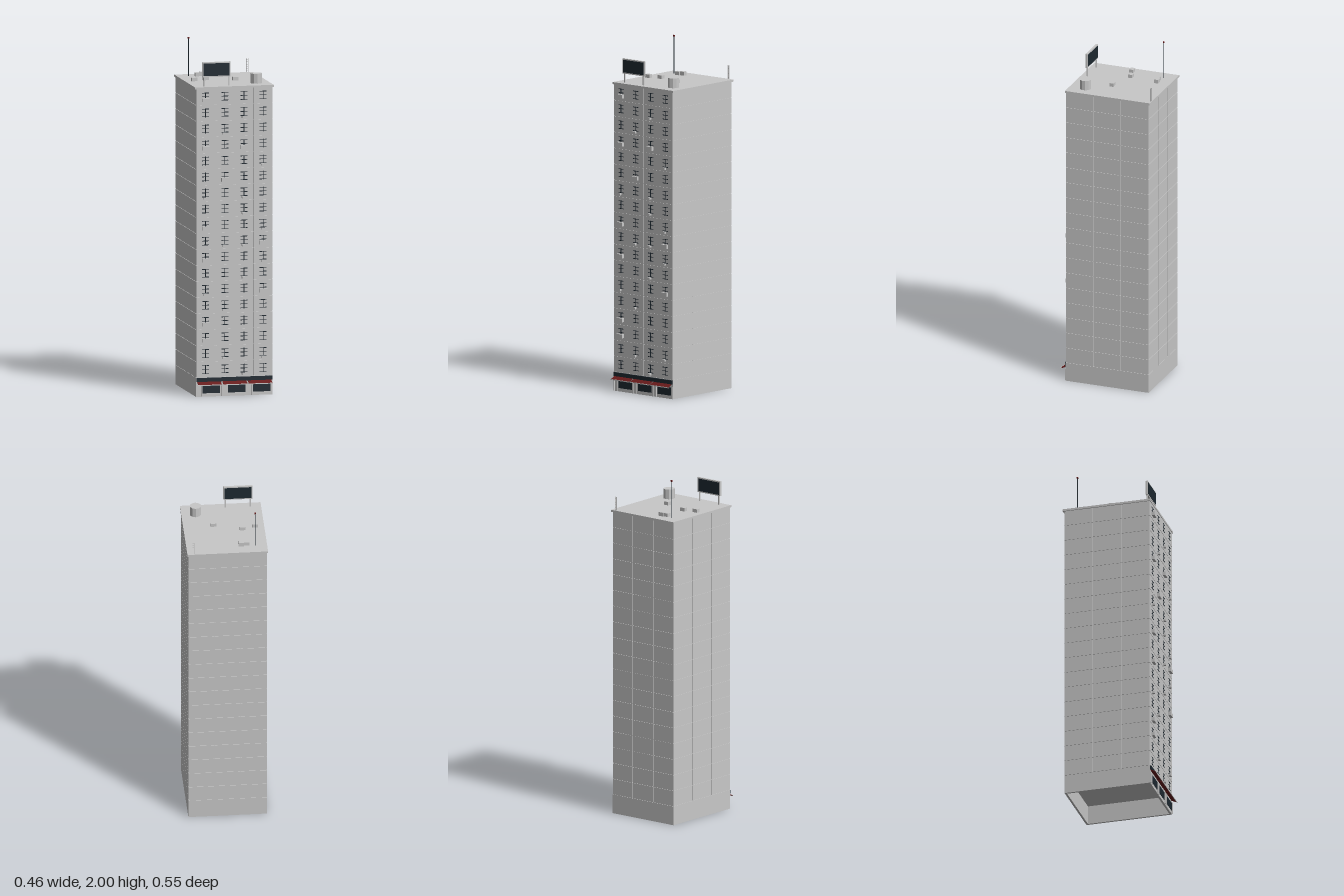
import * as THREE from 'three';
import { mergeGeometries } from 'three/addons/utils/BufferGeometryUtils.js';

const mat = (name, color) => Object.assign(new THREE.MeshStandardMaterial({ color }), { name });

// Box given by its centre and size
function box(x, y, z, w, h, d) {
  return new THREE.BoxGeometry(w, h, d).translate(x, y, z);
}

export function createModel() {
  const grey = mat('concreteGrey', 0xc8c8c8);
  const dark = mat('darkGlass', 0x1d2830);
  const red = mat('awningRed', 0x681b1b);
  const model = new THREE.Group();
  const add = (name, geos, material) => {
    const m = new THREE.Mesh(mergeGeometries(geos), material);
    m.name = name;
    model.add(m);
  };

  const X = 0.224, ZF = 0.24, ZB = -0.266, ZC = (ZF + ZB) / 2, D = ZF - ZB;
  const Y0 = 0.11, Y1 = 1.768, FLOORS = 18, FH = (Y1 - Y0) / FLOORS;
  const step = 0.003, gap = 0.003;
  const cols = [-1.5, -0.5, 0.5, 1.5].map(i => i * X / 2);
  const midY = f => Y1 - (f + 0.5) * FH; // floor 0 is the top one

  // Tower core, with slightly raised wall panels on each floor
  add('towerCore', [box(0, (Y0 + Y1) / 2, ZC, 2 * (X - step), Y1 - Y0, D - 2 * step)], grey);
  const panels = [];
  for (let f = 0; f < FLOORS; f++) {
    const y = midY(f), h = FH - gap;
    for (const x of cols) panels.push(box(x, y, ZF - step / 2, X / 2 - gap, h, step));
    for (let i = -1; i <= 1; i++) {
      panels.push(box(i * 2 * X / 3, y, ZB + step / 2, 2 * X / 3 - gap, h, step));
      for (const s of [-1, 1])
        panels.push(box(s * (X - step / 2), y, ZC + i * D / 3, step, h, D / 3 - gap));
    }
  }
  add('wallPanels', panels, grey);

  // Window bars on the front
  const bars = [];
  for (let f = 0; f < FLOORS; f++) for (const x of cols) {
    const y = midY(f);
    bars.push(box(x, y, ZF, 0.004, 0.05, 0.003));
    for (const dy of [0.022, 0.001, -0.022]) bars.push(box(x, y + dy, ZF, 0.04, 0.0035, 0.003));
  }
  add('windowBars', bars, dark);

  // Window boxes and small cooling units: floors listed per column
  const largeFloors = [[0, 3, 8, 10, 14, 15], [5], [3], [9, 12]];
  const smallFloors = [[6, 12], [2, 9, 13, 16], [1, 6, 7, 9, 11, 17], [4, 8, 10, 16]];
  const units = [];
  cols.forEach((x, c) => {
    for (const f of largeFloors[c]) units.push(box(x, midY(f) - 0.018, ZF + 0.008, 0.042, 0.022, 0.016));
    for (const f of smallFloors[c]) units.push(box(x - 0.004, midY(f) - 0.03, ZF + 0.007, 0.018, 0.012, 0.014));
  });
  add('windowUnits', units, grey);

  // Hollow ground floor, open underneath
  const t = 0.012;
  add('groundFloorWalls', [
    box(0, Y0 / 2, ZF - t / 2, 2 * X, Y0, t),
    box(0, Y0 / 2, ZB + t / 2, 2 * X, Y0, t),
    box(X - t / 2, Y0 / 2, ZC, t, Y0, D - 2 * t),
    box(-X + t / 2, Y0 / 2, ZC, t, Y0, D - 2 * t),
  ], grey);

  // Shop fronts: glass, frames, doors and sign band
  add('shopWindows', [-0.135, 0.013, 0.16].map(x => box(x, 0.043, ZF, 0.102, 0.047, 0.005)), dark);
  add('shopFrames', [-0.217, -0.192, -0.075, -0.05, 0.076, 0.1, 0.219]
    .map(x => box(x, 0.036, ZF + 0.002, 0.005, 0.07, 0.008)), grey);
  add('signBand', [box(0, 0.097, ZF + 0.003, 2 * X - 0.006, 0.022, 0.008)], dark);

  // Sloping awnings with a pale front edge
  const awnings = [], trims = [];
  for (const [a, b] of [[-0.217, -0.08], [-0.07, 0.07], [0.078, 0.215]]) {
    const x = (a + b) / 2, w = b - a;
    awnings.push(new THREE.BoxGeometry(w, 0.003, 0.034).rotateX(0.42).translate(x, 0.077, ZF + 0.015));
    trims.push(box(x, 0.069, ZF + 0.032, w + 0.004, 0.005, 0.003));
  }
  add('awnings', awnings, red);
  add('awningTrims', trims, grey);

  // Roof slab
  const roofY = 1.778;
  add('roof', [box(0, roofY - 0.006, -0.016, 0.46, 0.012, 0.518)], grey);

  // Roof vents
  add('roofVents', [[-0.177, -0.007], [-0.104, -0.03], [0.057, 0.021], [-0.113, -0.19], [-0.083, -0.197]]
    .map(([x, z], i) => box(x, roofY + 0.01, z, 0.032, i === 4 ? 0.024 : 0.02, 0.025)), grey);

  // Water tank
  const tank = new THREE.Mesh(new THREE.CylinderGeometry(0.033, 0.033, 0.057, 10), grey);
  tank.name = 'waterTank';
  tank.material.flatShading = true;
  tank.position.set(0.149, roofY + 0.028, 0.149);
  model.add(tank);

  // Billboard on two legs, with a dark panel on both sides
  add('billboardFrame', [
    box(-0.098, 1.873, 0.208, 0.166, 0.086, 0.012),
    box(-0.168, 1.806, 0.208, 0.007, 0.06, 0.007),
    box(-0.026, 1.806, 0.208, 0.007, 0.06, 0.007),
  ], grey);
  add('billboardPanels', [0.2145, 0.2015].map(z => box(-0.098, 1.873, z, 0.152, 0.072, 0.002)), dark);

  // Antenna mast with a red beacon
  add('antenna', [new THREE.CylinderGeometry(0.002, 0.002, 0.215, 6).translate(-0.162, 1.885, -0.207)], dark);
  add('beacon', [box(-0.162, 1.996, -0.207, 0.009, 0.008, 0.008)], red);

  // Ladder at the back edge of the roof
  const ladder = [-1, 1].map(s => box(0.196 + s * 0.005, 1.815, -0.27, 0.002, 0.085, 0.006));
  for (let i = 0; i < 6; i++) ladder.push(box(0.196, 1.785 + i * 0.013, -0.27, 0.01, 0.002, 0.002));
  add('roofLadder', ladder, grey);

  return model;
}
